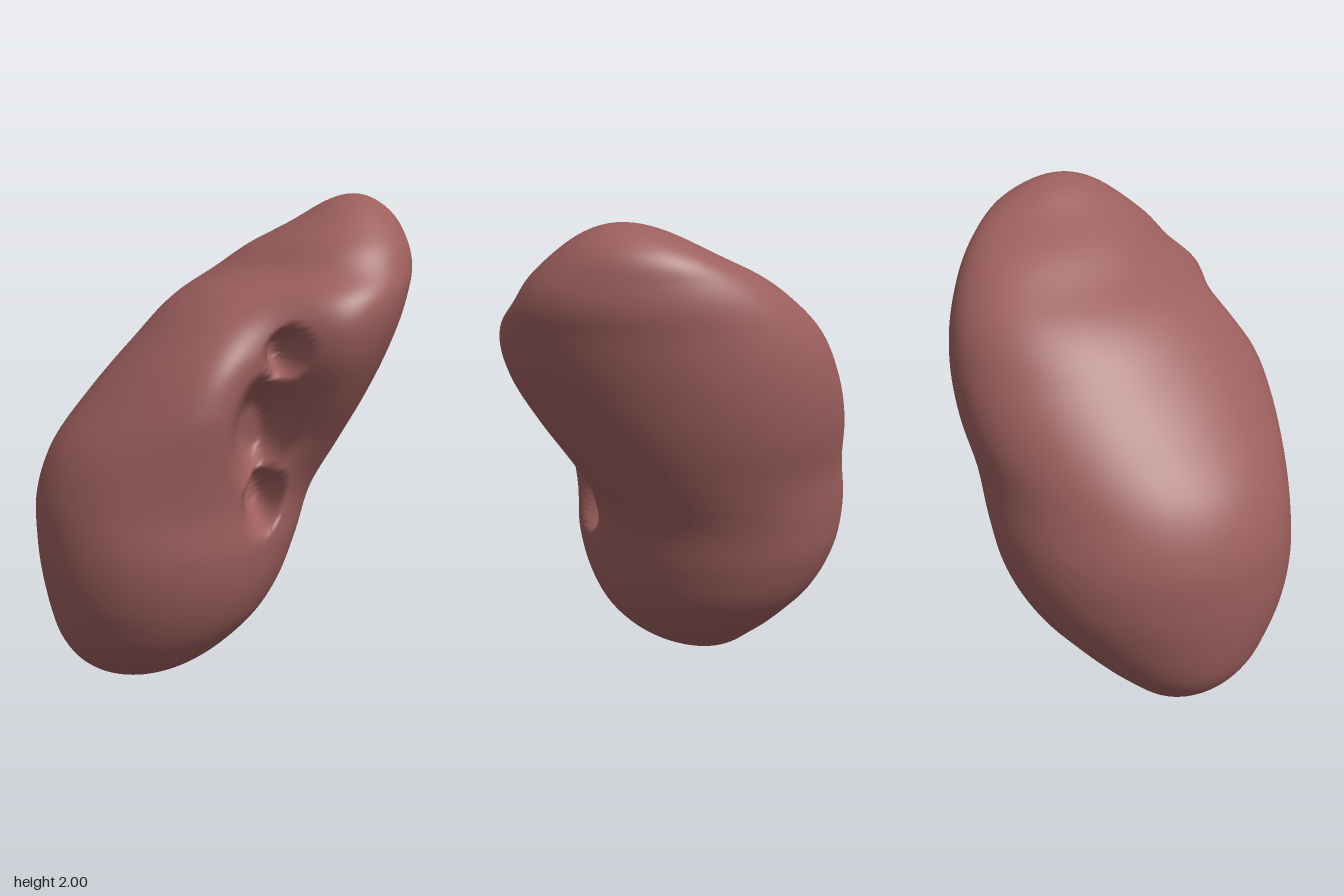
import * as THREE from 'three';

// Horizontal cross-sections: height, centre x, centre z, fullness in x and z, skew
const SECTIONS = [
  [0.0, -0.30, 0.25, 0.59, 0.57, -0.04],
  [0.1, -0.255, 0.255, 0.595, 0.585, -0.04],
  [0.2, -0.23, 0.228, 0.60, 0.61, -0.03],
  [0.3, -0.212, 0.192, 0.60, 0.628, -0.01],
  [0.4, -0.205, 0.16, 0.595, 0.645, 0.02],
  [0.6, -0.20, 0.12, 0.586, 0.643, 0.05],
  [0.8, -0.185, 0.085, 0.575, 0.628, 0.03],
  [1.0, -0.11, 0.035, 0.59, 0.625, 0.03],
  [1.2, -0.01, -0.04, 0.622, 0.633, 0.14],
  [1.4, 0.095, -0.115, 0.66, 0.638, 0.25],
  [1.6, 0.19, -0.207, 0.695, 0.617, 0.31],
  [1.7, 0.245, -0.285, 0.68, 0.567, 0.33],
  [1.8, 0.30, -0.325, 0.65, 0.56, 0.34],
  [1.9, 0.365, -0.36, 0.56, 0.55, 0.34],
  [2.0, 0.40, -0.36, 0.50, 0.52, 0.34],
];

// Hollows of the notch: position across, height, half width, half height, depth
const HOLLOWS = [
  [0.07, 1.09, 0.14, 0.23, 0.2],
  [0.14, 1.4, 0.075, 0.1, 0.22],
  [0.09, 0.81, 0.095, 0.14, 0.24],
];

const RINGS = 140;
const SIDES = 220;

// Depth of the notch at a point; w runs across it and h points out of it
function notchDepth(w, h, y) {
  const facing = THREE.MathUtils.smoothstep(h, 0, 0.3);
  const dent = 0.18 * Math.exp(-(((w - 0.11) / 0.19) ** 2) - ((y - 1.2) / 0.4) ** 2);
  let pit = 0;
  for (const [cw, cy, rw, ry, d] of HOLLOWS) {
    const r = Math.hypot((w - cw) / rw, (y - cy) / ry);
    pit = Math.max(pit, d * (1 - THREE.MathUtils.smoothstep(r, 0.35, 1.1)));
  }
  return facing * (dent + pit);
}

function bodyGeometry() {
  const section = new THREE.CubicInterpolant(
    new Float32Array(SECTIONS.map((s) => s[0])),
    new Float32Array(SECTIONS.flatMap((s) => s.slice(1))),
    5,
  );
  const positions = [];
  const index = [];
  for (let i = 0; i <= RINGS; i++) {
    const y = 1 - Math.cos((i / RINGS) * Math.PI);
    const [cx, cz, fx, fz, skew] = section.evaluate(y);
    const round = Math.sqrt(Math.max(0, y * (2 - y)));
    for (let j = 0; j < SIDES; j++) {
      const t = (j / SIDES) * Math.PI * 2;
      const x = cx + fx * round * Math.cos(t);
      const z = cz + fz * round * Math.sin(t + skew);
      const push = notchDepth((x - z) * Math.SQRT1_2, (x + z) * Math.SQRT1_2, y) * Math.SQRT1_2;
      positions.push(x - push, y, z - push);

      // Join this ring to the next, with single triangles at the poles
      if (i === RINGS) continue;
      const a = i * SIDES + j;
      const b = i * SIDES + ((j + 1) % SIDES);
      if (i > 0) index.push(a, a + SIDES, b);
      if (i < RINGS - 1) index.push(b, a + SIDES, b + SIDES);
    }
  }
  const geometry = new THREE.BufferGeometry();
  geometry.setAttribute('position', new THREE.Float32BufferAttribute(positions, 3));
  geometry.setIndex(index);
  geometry.computeVertexNormals();
  return geometry;
}

export function createModel() {
  const group = new THREE.Group();
  group.name = 'kidney';
  const body = new THREE.Mesh(bodyGeometry(), new THREE.MeshStandardMaterial({ color: 0x9c5f5d }));
  body.name = 'kidneyBody';
  group.add(body);
  return group;
}
